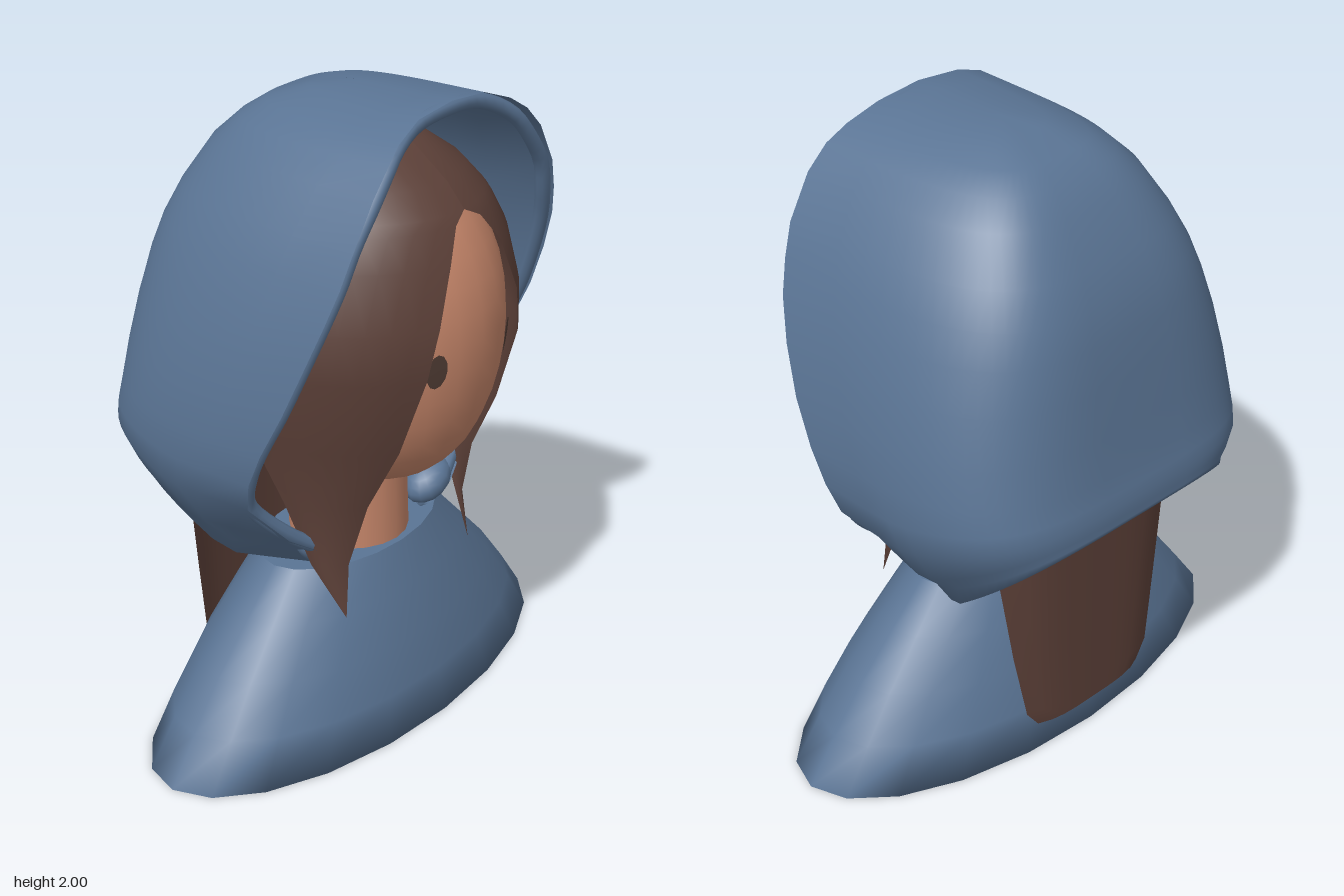
import * as THREE from 'three';
import { mergeVertices } from 'three/addons/utils/BufferGeometryUtils.js';

const mat = (name, color) => {
  const m = new THREE.MeshStandardMaterial({ color, side: THREE.DoubleSide });
  m.name = name;
  return m;
};

// Smooth surface through equal-length rows of points
function loft(rows) {
  const n = rows[0].length, index = [];
  for (let j = 0; j < rows.length - 1; j++) {
    for (let i = 0; i < n - 1; i++) {
      const a = j * n + i, b = a + 1, c = a + n, d = c + 1;
      index.push(a, c, b, b, c, d);
    }
  }
  let g = new THREE.BufferGeometry();
  g.setAttribute('position', new THREE.Float32BufferAttribute(rows.flat(2), 3));
  g.setIndex(index);
  g = mergeVertices(g, 1e-4);
  g.computeVertexNormals();
  return g;
}

const steps = (n, fn) => Array.from({ length: n + 1 }, (_, i) => fn(i / n));

export function createModel() {
  const cloth = mat('blueCloth', 0x5a7494);
  const skin = mat('skin', 0xc6866a);
  const hair = mat('brownHair', 0x5c4038);
  const dark = mat('eyeBrown', 0x503c34);
  const model = new THREE.Group();
  const add = (name, geo, material) => {
    const m = new THREE.Mesh(geo, material);
    m.name = name;
    model.add(m);
    return m;
  };

  // Shoulders, closed below: y, half width, half depth
  const body = [[0, 0.86, 0], [0, 0.86, 0.39], [0.14, 0.755, 0.36], [0.28, 0.64, 0.32], [0.42, 0.5, 0.265], [0.55, 0.37, 0.21]];
  add('shoulders', loft(body.map(([y, w, d]) => steps(20, t => {
    const a = t * Math.PI * 2;
    return [w * Math.cos(a), y, 0.06 + d * Math.sin(a)];
  }))), cloth);
  const cap = add('shoulderTop', new THREE.CircleGeometry(1, 20), cloth);
  cap.scale.set(0.37, 0.21, 1);
  cap.rotation.x = -Math.PI / 2;
  cap.position.set(0, 0.55, 0.06);

  // Neck
  const neck = add('neck', new THREE.CylinderGeometry(0.175, 0.19, 0.4, 20), skin);
  neck.position.set(0, 0.74, 0.06);

  // Head with the chin drawn forward
  const skull = new THREE.SphereGeometry(1, 28, 20);
  const sp = skull.attributes.position;
  for (let i = 0; i < sp.count; i++) {
    const y = Math.min(0, sp.getY(i));
    sp.setZ(i, sp.getZ(i) + 0.22 * y * y);
  }
  skull.computeVertexNormals();
  const head = add('head', skull, skin);
  head.scale.set(0.44, 0.54, 0.5);
  head.position.set(0, 1.31, 0.05);

  // Eyes laid on the curve of the face
  for (const s of [1, -1]) {
    const eye = new THREE.CircleGeometry(1, 12);
    const p = eye.attributes.position;
    for (let i = 0; i < p.count; i++) {
      const x = s * 0.175 + p.getX(i) * 0.03, y = 1.255 + p.getY(i) * 0.055;
      const z = 0.058 + 0.5 * Math.sqrt(1 - (x / 0.44) ** 2 - ((y - 1.31) / 0.54) ** 2);
      p.setXYZ(i, x, y, z);
    }
    eye.computeVertexNormals();
    add(s > 0 ? 'leftEye' : 'rightEye', eye, dark);
  }

  // Front hair, parted in the middle: y, inner x, outer x, forward depth, outer z
  const fringe = [
    [1.9, 0, 0.001, 0, 0.05], [1.85, 0, 0.185, 0.24, 0.05], [1.76, 0, 0.315, 0.36, 0.05],
    [1.69, 0, 0.38, 0.42, 0.05], [1.66, 0.06, 0.405, 0.44, 0.05], [1.57, 0.125, 0.45, 0.485, 0.05],
    [1.4, 0.195, 0.495, 0.525, 0.05], [1.25, 0.23, 0.507, 0.525, 0.05], [1.0, 0.25, 0.45, 0.465, 0.05],
    [0.8, 0.27, 0.395, 0.3, 0.12], [0.6, 0.295, 0.365, 0.15, 0.2], [0.43, 0.32, 0.32, 0, 0.3],
  ];
  for (const s of [1, -1]) {
    add(s > 0 ? 'leftFrontHair' : 'rightFrontHair', loft(fringe.map(([y, xi, xo, d, zo]) => {
      const a0 = Math.asin(Math.min(1, xi / xo));
      return steps(8, t => {
        const a = a0 + (Math.PI / 2 - a0) * t;
        return [s * xo * Math.sin(a), y, zo + d * Math.cos(a)];
      });
    })), hair);
  }

  // Hair over the back of the head and the long fall below it
  const crown = add('backHair', new THREE.SphereGeometry(1, 16, 16, Math.PI, Math.PI, 0, Math.PI * 0.82), hair);
  crown.scale.set(0.5, 0.6, 0.46);
  crown.position.set(0, 1.3, 0.05);
  const fall = [[1.25, 0.46, -0.36, -0.15], [1.0, 0.42, -0.345, -0.23], [0.75, 0.375, -0.345, -0.28],
    [0.4, 0.32, -0.345, -0.295], [0.16, 0.275, -0.345, -0.31], [0.1, 0.23, -0.345, -0.315]];
  add('longBackHair', loft(fall.map(([y, w, zc, ze]) => steps(10, t => {
    const u = t * 2 - 1;
    return [u * w, y, zc + (ze - zc) * u ** 4];
  }))), hair);

  // Hood rows running from rim round the back to rim:
  // rim y, back y, rim half width, back half width, rim z, back z
  const hood = [
    [2.0, 2.0, 0, 0, 0.42, 0.08], [1.985, 1.985, 0.16, 0.15, 0.42, -0.04],
    [1.945, 1.945, 0.27, 0.25, 0.435, -0.16], [1.9, 1.9, 0.34, 0.325, 0.45, -0.225],
    [1.83, 1.83, 0.41, 0.395, 0.455, -0.295], [1.7, 1.7, 0.49, 0.475, 0.45, -0.375],
    [1.6, 1.6, 0.53, 0.525, 0.435, -0.42], [1.5, 1.5, 0.567, 0.56, 0.41, -0.45],
    [1.37, 1.37, 0.6, 0.6, 0.365, -0.475], [1.22, 1.22, 0.625, 0.63, 0.305, -0.5],
    [1.08, 1.1, 0.637, 0.64, 0.235, -0.52], [0.97, 1.04, 0.63, 0.64, 0.185, -0.535],
    [0.87, 1.0, 0.6, 0.635, 0.155, -0.545], [0.72, 0.96, 0.46, 0.62, 0.195, -0.545],
    [0.62, 0.94, 0.31, 0.605, 0.235, -0.545], [0.55, 0.93, 0.25, 0.6, 0.2, -0.545],
  ];
  const hoodRows = inset => hood.map(([yf, yb, wf, wb, zf, zb]) => steps(36, t => {
    const a = Math.min(t, 1 - t) * Math.PI;
    const s = Math.sin(a) ** 0.55;
    const c = t === 0.5 ? 0 : Math.cos(a) ** 0.55;
    const side = t < 0.5 ? 1 : -1;
    const drop = yf > 1.2 ? inset * (1 - wf / 0.64) : 0;
    const y = yf - drop + (yb - yf) * Math.max(0, (s - 0.42) / 0.58);
    const w = Math.max(0, wf + (wb - wf) * s - inset);
    return [side * c * w, y, zf - inset * 0.3 + (zb - zf + inset * 1.3) * s];
  }));
  // Outer cloth, turned under at the lower edge into the lining
  add('hood', loft([...hoodRows(0), ...hoodRows(0.04).reverse()]), cloth);

  // Rolled hem of the hood opening
  const hem = s => hood.slice(1, -1).map(([y, , w, , z]) =>
    new THREE.Vector3(s * (w - 0.03 * Math.min(1, w / 0.4)), y - (y > 1.7 ? 0.025 : 0), z - 0.022));
  const path = new THREE.CatmullRomCurve3(
    [...hem(1).reverse(), new THREE.Vector3(0, 1.974, 0.398), ...hem(-1)]);
  add('hoodHem', new THREE.TubeGeometry(path, 90, 0.024, 8), cloth);

  // Folded hood ends beside the neck
  for (const s of [1, -1]) {
    const end = add(s > 0 ? 'leftHoodEnd' : 'rightHoodEnd', new THREE.SphereGeometry(1, 14, 10), cloth);
    end.scale.set(0.095, 0.06, 0.075);
    end.position.set(s * 0.275, 0.62, 0.165);
    end.rotation.z = s * 0.5;
  }
  return model;
}
